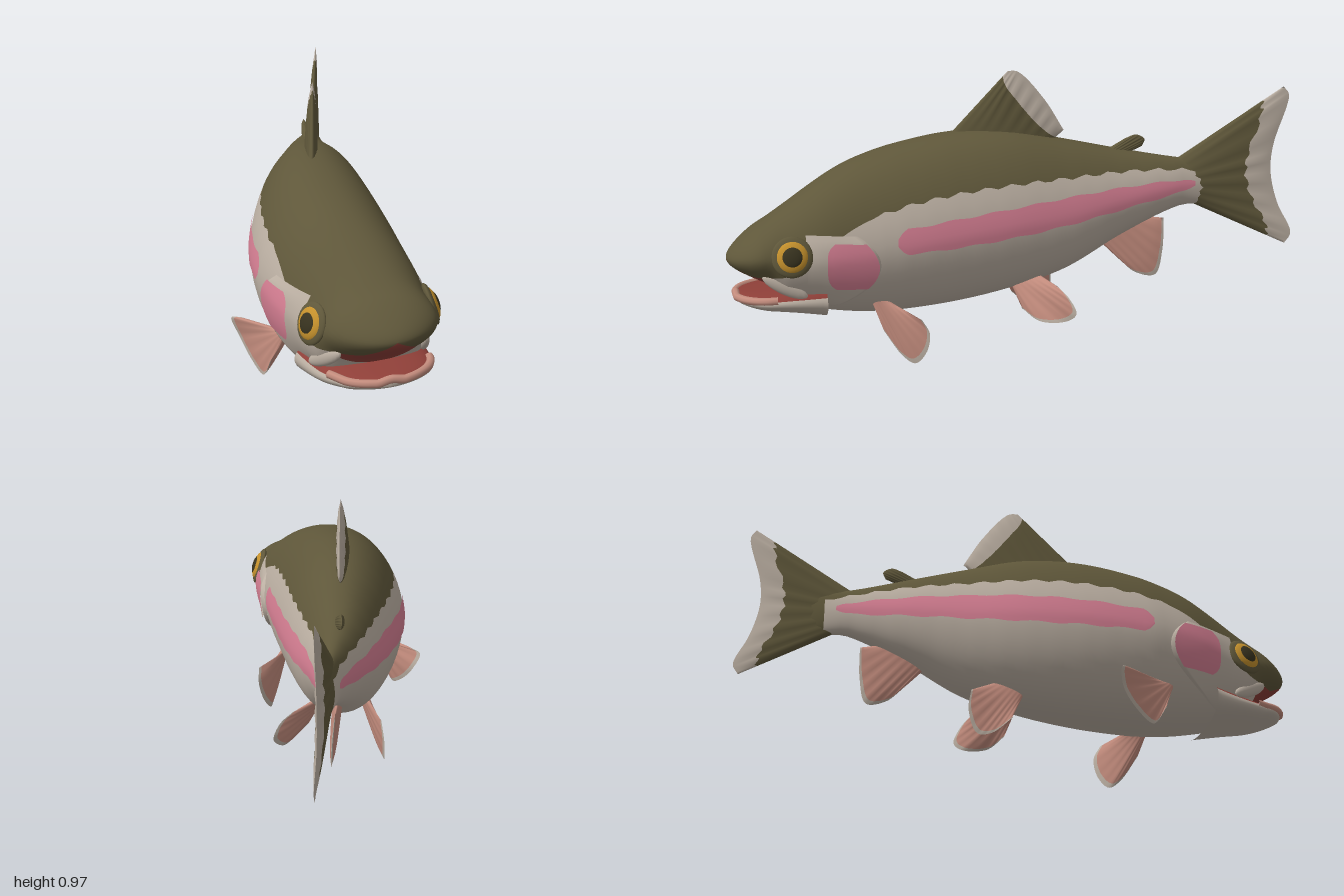
import * as THREE from 'three';

const paint = (name, color) => {
  const m = new THREE.MeshStandardMaterial({ color });
  m.name = name;
  return m;
};
const olive = paint('olive back', 0x5f573a), pale = paint('pale belly', 0xbcb0a3);
const pink = paint('pink stripe', 0xd67f93), peach = paint('peach fin', 0xc38c7d);
const gold = paint('gold iris', 0xc4902c), dark = paint('dark pupil', 0x38331f);
const red = paint('mouth red', 0x8e3f38);

// Grid surface from f(u, v); faces are sorted into material groups by matOf(i, j)
function sheet(name, f, nu, nv, mats, matOf = () => 0, wrap = false) {
  const pos = [], lists = mats.map(() => []), cols = wrap ? nv : nv + 1;
  for (let i = 0; i <= nu; i++)
    for (let j = 0; j < cols; j++) pos.push(...f(i / nu, j / nv).toArray());
  for (let i = 0; i < nu; i++)
    for (let j = 0; j < nv; j++) {
      const k = (j + 1) % cols, a = i * cols + j, b = i * cols + k;
      lists[matOf(i, j)].push(a, a + cols, b, b, a + cols, b + cols);
    }
  const g = new THREE.BufferGeometry();
  g.setAttribute('position', new THREE.Float32BufferAttribute(pos, 3));
  g.setIndex(lists.flat());
  let start = 0;
  lists.forEach((l, m) => { g.addGroup(start, l.length, m); start += l.length; });
  g.computeVertexNormals();
  const mesh = new THREE.Mesh(g, mats);
  mesh.name = name;
  return mesh;
}

// Body stations: z, centre x, half width, bottom, top, colour border height
const stations = [
  [-0.78, 0.185, 0.006, 0.49, 0.64, 0.56], [-0.7, 0.165, 0.025, 0.48, 0.645, 0.6],
  [-0.6, 0.14, 0.046, 0.47, 0.65, 0.615], [-0.4, 0.088, 0.108, 0.365, 0.68, 0.62],
  [-0.2, 0.055, 0.165, 0.245, 0.72, 0.615], [0, 0.027, 0.212, 0.18, 0.757, 0.61],
  [0.2, 0.01, 0.24, 0.142, 0.755, 0.595], [0.4, 0.01, 0.25, 0.13, 0.722, 0.565],
  [0.52, 0.02, 0.243, 0.138, 0.69, 0.53], [0.6, 0.03, 0.235, 0.15, 0.66, 0.49],
  [0.68, 0.045, 0.222, 0.168, 0.62, 0.43], [0.8, 0.067, 0.198, 0.2, 0.55, 0.345],
  [0.86, 0.08, 0.18, 0.28, 0.515, 0.335], [0.92, 0.092, 0.162, 0.315, 0.485, 0.335],
  [1, 0.1, 0.14, 0.335, 0.445, 0.35]];

// Smooth cubic interpolation of the stations
function at(z) {
  const n = stations.length;
  let i = 0;
  while (i < n - 2 && z > stations[i + 1][0]) i++;
  const p = stations[i], q = stations[i + 1], o = stations[Math.max(i - 1, 0)], r = stations[Math.min(i + 2, n - 1)];
  const h = q[0] - p[0], t = (z - p[0]) / h, t2 = t * t, t3 = t2 * t;
  const c = k => {
    const m0 = (q[k] - o[k]) / (q[0] - o[0]) * h, m1 = (r[k] - p[k]) / (r[0] - p[0]) * h;
    return p[k] * (2 * t3 - 3 * t2 + 1) + m0 * (t3 - 2 * t2 + t) + q[k] * (3 * t2 - 2 * t3) + m1 * (t3 - t2);
  };
  const round = z > 0.88 ? Math.sqrt(Math.max(0, 1 - ((z - 0.88) / 0.12) ** 2)) : 1;
  return { cx: c(1), hw: c(2) * round, cy: (c(3) + c(4)) / 2, hh: (c(4) - c(3)) / 2 * round, border: c(5) };
}
const angleOf = (s, y) => Math.asin(THREE.MathUtils.clamp((y - s.cy) / Math.max(s.hh, 1e-4), -0.85, 0.85));
// The head rolls slightly to one side
const roll = (z, dx) => 0.11 * THREE.MathUtils.smoothstep(z, 0.5, 0.85) * dx;

function skin(z, a) {
  const s = at(z), sn = Math.sin(a), cs = Math.cos(a);
  const dx = s.hw * Math.sign(cs) * Math.abs(cs) ** 0.93 * (1 - 0.12 * Math.max(sn, 0));
  return new THREE.Vector3(s.cx + dx, s.cy + s.hh * sn + roll(z, dx), z);
}
function skinNormal(z, a) {
  const du = skin(z - 0.01, a).sub(skin(z + 0.01, a)), dv = skin(z, a + 0.02).sub(skin(z, a - 0.02));
  return du.cross(dv).normalize();
}
// Point floating just above the flank at height y
function onFlank(z, y, side, off) {
  const a0 = angleOf(at(z), y), a = side > 0 ? a0 : Math.PI - a0;
  return skin(z, a).addScaledVector(skinNormal(z, a), off);
}
function flankPatch(name, side, f, nu, nv, mat) {
  return sheet(name, (u, v) => {
    const [z, y, off] = f(u, side > 0 ? v : 1 - v);
    return onFlank(z, y, side, off);
  }, nu, nv, [mat]);
}

// Lower jaw cross-section
function jaw(z, a) {
  const s = at(Math.min(z, 0.88)), t = (0.975 - z) / 0.3;
  const round = z > 0.85 ? Math.sqrt(Math.max(0, 1 - ((z - 0.85) / 0.125) ** 2)) : 1;
  const top = 0.272 + 0.04 * t * t, bottom = 0.222 - 0.06 * t, cs = Math.cos(a);
  const dx = (s.hw - 0.012) * round * Math.sign(cs) * Math.abs(cs) ** 0.8;
  return new THREE.Vector3(s.cx + 0.005 + dx,
    (top + bottom) / 2 + (top - bottom) / 2 * (0.4 + 0.6 * round) * Math.sin(a) + roll(z, dx), z);
}

// Fin stretched between a base line and an outer edge, with ribbed sides
function fin(name, base, edge, thick, mats, split) {
  const curve = pts => new THREE.CatmullRomCurve3(pts.map(p => new THREE.Vector3(...p)));
  const B = curve(base), E = curve(edge);
  const n = E.getPoint(0.5).sub(B.getPoint(0.5)).cross(B.getPoint(1).sub(B.getPoint(0))).normalize();
  return sheet(name, (u, v) => {
    const s = v < 0.5 ? 2 * v : 2 - 2 * v, sign = v < 0.5 ? 1 : -1, tb = split(s);
    const t = u < 0.5 ? 2 * u * tb : tb + (2 * u - 1) * (1 - tb);
    const w = thick * Math.sqrt(Math.max(0, Math.sin(Math.PI * s))) * (1 - 0.6 * t) * (1 - t ** 8)
      * (1 + 0.22 * t * Math.sin(s * 50));
    return B.getPoint(s).lerp(E.getPoint(s), t).addScaledVector(n, sign * w);
  }, 16, 64, mats, i => (i < 8 ? 0 : 1), true);
}

function eye(side) {
  const g = new THREE.Group();
  g.name = side > 0 ? 'leftEye' : 'rightEye';
  const a0 = angleOf(at(0.79), 0.41), a = side > 0 ? a0 : Math.PI - a0, n = skinNormal(0.79, a);
  g.position.copy(skin(0.79, a));
  g.quaternion.setFromUnitVectors(new THREE.Vector3(0, 0, 1), n);
  [['eyelid', olive, 0.07, 0.018, 0], ['iris', gold, 0.056, 0.022, 0.004], ['pupil', dark, 0.037, 0.014, 0.0155]]
    .forEach(([name, mat, r, depth, off]) => {
      const m = new THREE.Mesh(new THREE.SphereGeometry(r, 28, 18), mat);
      m.name = name;
      m.scale.z = depth / r;
      m.position.z = off;
      g.add(m);
    });
  return g;
}

export function createModel() {
  const fish = new THREE.Group();
  fish.name = 'fish';

  // Body: belly columns first, then back columns, meeting at the colour border
  const rows = 96, cols = 64, half = 32, zOf = u => 1 - 1.78 * u ** 1.6;
  fish.add(sheet('body', (u, v) => {
    const z = zOf(u), s = at(z);
    const rag = z < 0.5 ? 0.006 * Math.sin(z * 70) : 0;
    const b = angleOf(s, s.border + rag);
    const a = v < 0.5 ? Math.PI - b + (Math.PI + 2 * b) * v * 2 : b + (Math.PI - 2 * b) * (v * 2 - 1);
    return skin(z, a);
  }, rows, cols, [pale, olive, red], (i, j) => {
    const z = zOf((i + 0.5) / rows);
    if (j >= half || z < -0.68) return 1;
    return z > 0.86 ? 2 : 0;
  }, true));

  // Lower jaw with red inside and a soft lip
  fish.add(sheet('lowerJaw', (u, v) => jaw(0.975 - 0.3 * u ** 1.7, v * Math.PI * 2), 28, 40,
    [red, pale], (i, j) => (j > 1 && j < 18 ? 0 : 1), true));
  const lipPts = [];
  for (let i = -9; i <= 9; i++) {
    const z = 0.972 - 0.13 * (i / 9) ** 2;
    lipPts.push(jaw(z, i < 0 ? Math.PI - 0.4 : i > 0 ? 0.4 : Math.PI / 2));
  }
  const lip = new THREE.Mesh(new THREE.TubeGeometry(new THREE.CatmullRomCurve3(lipPts), 60, 0.014, 8), peach);
  lip.name = 'lowerLip';
  fish.add(lip);

  for (const side of [1, -1]) {
    const label = side > 0 ? 'left' : 'right';
    fish.add(eye(side));

    // Side stripe
    fish.add(flankPatch(label + 'Stripe', side, (u, v) => {
      const end = Math.min(1, Math.sqrt(Math.min(u, 1 - u) * 30 + 0.1));
      const h = (0.04 + 0.06 * u - 0.083 * u * u) * end + 0.003 * Math.sin(u * 45);
      return [0.43 - 1.08 * u, 0.45 + 0.115 * u ** 1.3 + h * (2 * v - 1), 0.004];
    }, 60, 6, pink));

    // Gill cover rising to a rounded rear edge, with a pink cheek
    const rear = v => 0.49 + 0.13 * (2 * v - 1.25) ** 2;
    fish.add(flankPatch(label + 'GillCover', side, (u, v) => {
      const y = 0.2 + 0.28 * v, lift = u > 0.95 ? 0 : 0.014 * u;
      return [0.74 + (rear(v) - 0.74) * u, y, lift * Math.min(1, 8 * v, 8 * (1 - v)) + 0.0005];
    }, 20, 16, pale));
    fish.add(flankPatch(label + 'Cheek', side, (u, v) => {
      const w = 0.355 + 0.555 * v, y = 0.2 + 0.28 * w, front = 0.675 - 0.03 * (2 * v - 1) ** 4;
      return [front + (rear(w) + 0.008 - front) * u, y, 0.017];
    }, 12, 12, pink));

    // Upper jaw plate beside the mouth
    const p = onFlank(0.86, 0.325, side, 0.002), q = onFlank(0.77, 0.275, side, 0.002);
    const plate = new THREE.Mesh(new THREE.SphereGeometry(1, 20, 14), pale);
    plate.name = label + 'JawPlate';
    plate.position.copy(p).lerp(q, 0.5);
    plate.scale.set(0.016, 0.026, 0.085);
    plate.lookAt(p);
    fish.add(plate);
  }

  // Fins
  const rim = () => 0.93, two = [peach, pale];
  fish.add(
    fin('tailFin', [[0.14, 0.65, -0.6], [0.155, 0.565, -0.63], [0.155, 0.477, -0.66]],
      [[0.228, 0.91, -0.95], [0.232, 0.88, -0.97], [0.222, 0.7, -0.925], [0.22, 0.6, -0.92],
        [0.225, 0.48, -0.95], [0.24, 0.37, -1], [0.235, 0.33, -0.98]], 0.026, [olive, pale],
      s => 0.7 + 0.1 * (2 * s - 1) ** 2 + 0.025 * Math.sin(s * 60)),
    fin('dorsalFin', [[-0.012, 0.74, 0.2], [0.02, 0.74, 0.02], [0.05, 0.715, -0.16]],
      [[0.03, 0.972, -0.005], [0.036, 0.968, -0.04], [0.05, 0.87, -0.13], [0.06, 0.755, -0.2]], 0.024,
      [olive, pale], s => 0.92 - 0.6 * s),
    fin('adiposeFin', [[0.078, 0.67, -0.34], [0.09, 0.665, -0.43]],
      [[0.08, 0.715, -0.42], [0.085, 0.728, -0.46], [0.088, 0.71, -0.49], [0.09, 0.685, -0.48]], 0.018, [olive, olive], rim),
    fin('analFin', [[0.08, 0.36, -0.31], [0.1, 0.43, -0.47]],
      [[0.1, 0.27, -0.4], [0.12, 0.22, -0.46], [0.13, 0.21, -0.53], [0.13, 0.3, -0.555], [0.12, 0.42, -0.56]], 0.018, two, rim),
    fin('leftPectoralFin', [[0.18, 0.235, 0.52], [0.18, 0.21, 0.45]],
      [[0.22, 0.12, 0.48], [0.24, 0.03, 0.42], [0.255, 0.003, 0.38], [0.285, 0.05, 0.345],
        [0.305, 0.13, 0.335], [0.3, 0.18, 0.36]], 0.016, two, rim),
    fin('rightPectoralFin', [[-0.16, 0.235, 0.51], [-0.17, 0.245, 0.45]],
      [[-0.205, 0.14, 0.47], [-0.222, 0.07, 0.42], [-0.25, 0.1, 0.36], [-0.285, 0.17, 0.3],
        [-0.31, 0.235, 0.29], [-0.28, 0.245, 0.32]], 0.016, two, rim),
    fin('leftPelvicFin', [[0.1, 0.21, 0], [0.12, 0.25, -0.09]],
      [[0.15, 0.13, -0.03], [0.21, 0.1, -0.08], [0.26, 0.11, -0.16], [0.295, 0.15, -0.19],
        [0.27, 0.2, -0.17], [0.22, 0.23, -0.14]], 0.016, two, rim),
    fin('rightPelvicFin', [[-0.05, 0.21, 0], [-0.05, 0.25, -0.1]],
      [[-0.1, 0.1, -0.05], [-0.105, 0.04, -0.12], [-0.105, 0.035, -0.17], [-0.1, 0.12, -0.2],
        [-0.09, 0.2, -0.19]], 0.016, two, rim));
  return fish;
}
